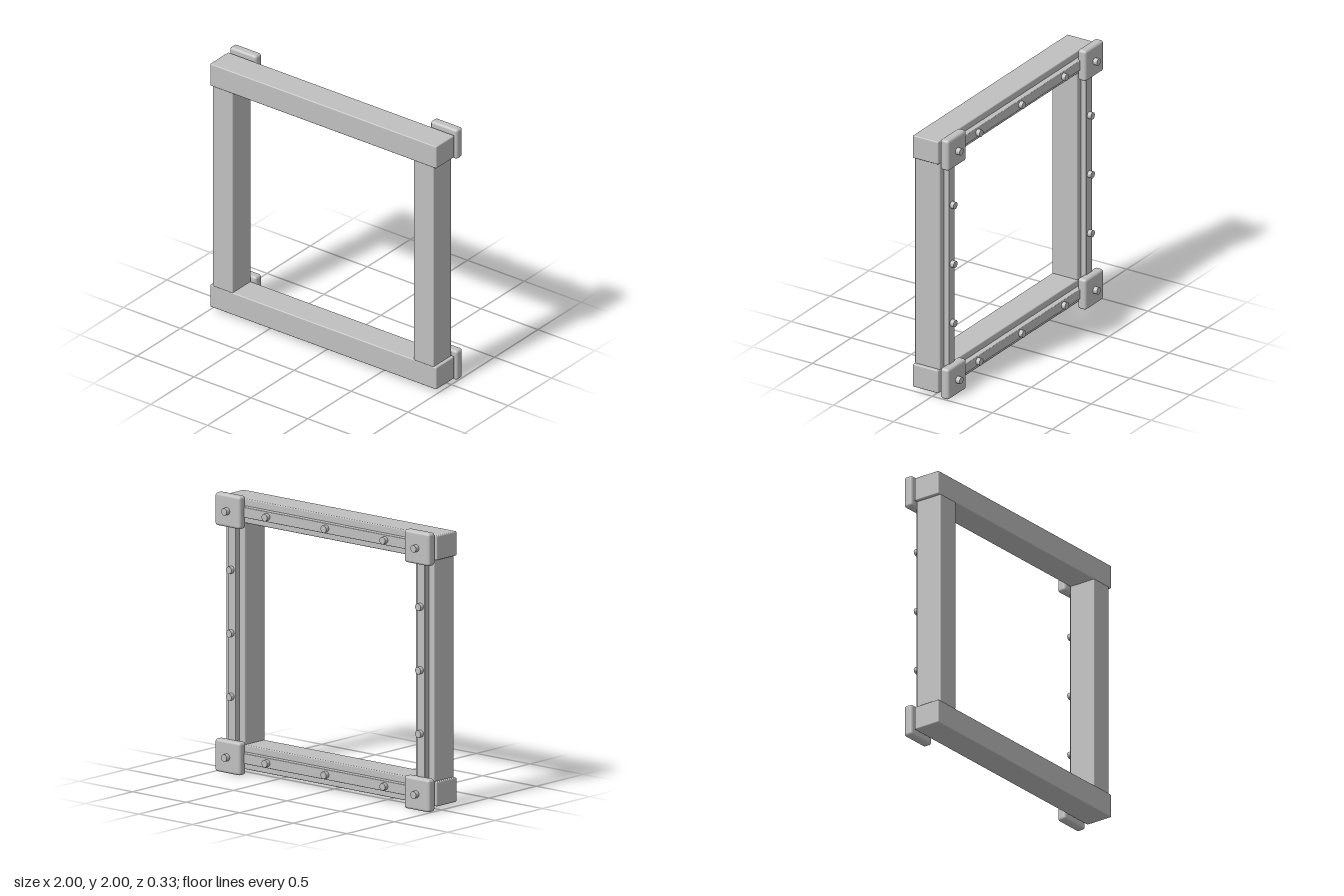
import * as THREE from 'three';
import { RoundedBoxGeometry } from 'three/addons/geometries/RoundedBoxGeometry.js';

export function createModel() {
  const model = new THREE.Group();
  const grey = new THREE.MeshStandardMaterial({ color: 0xc0c0c0 });
  grey.name = 'light grey';

  function add(name, geometry, x, y, z) {
    const mesh = new THREE.Mesh(geometry, grey);
    mesh.name = name;
    mesh.position.set(x, y, z);
    model.add(mesh);
  }
  const box = (w, h, d, r) => new RoundedBoxGeometry(w, h, d, 3, r);
  // bolt pointing backwards, from zFront to zBack
  function bolt(name, x, y, zFront, zBack) {
    const g = new THREE.CylinderGeometry(0.026, 0.026, zFront - zBack, 20);
    g.rotateX(Math.PI / 2);
    add(name, g, x, y, (zFront + zBack) / 2);
  }

  const midY = 1, arm = 0.8825; // centre line of the frame members

  for (const s of [-1, 1]) {
    const side = s > 0 ? 'left' : 'right';
    const level = s > 0 ? 'top' : 'bottom';
    const y = midY + s * arm;

    // main square frame
    add(level + 'Beam', box(1.99, 0.175, 0.212, 0.008), 0, midY + s * 0.8825, 0.061);
    add(side + 'Post', box(0.175, 1.6, 0.21, 0.008), s * arm, midY, 0.061);

    // thin rails on the back
    add(level + 'Rail', box(1.87, 0.075, 0.05, 0.005), 0, y, -0.062);
    add(side + 'Rail', box(0.075, 1.7, 0.05, 0.005), s * arm, midY, -0.062);

    // rail bolts
    for (const t of [-0.55, 0, 0.55]) {
      bolt(level + 'RailBolt', t, y, -0.08, -0.117);
      bolt(side + 'RailBolt', s * arm, midY + t * 0.827, -0.08, -0.117);
    }

    // corner plates with their bolts
    for (const t of [-1, 1]) {
      add('cornerPlate', box(0.235, 0.235, 0.07, 0.02), t * arm, y, -0.099);
      bolt('cornerBolt', t * arm, y, -0.045, -0.167);
    }
  }
  return model;
}
